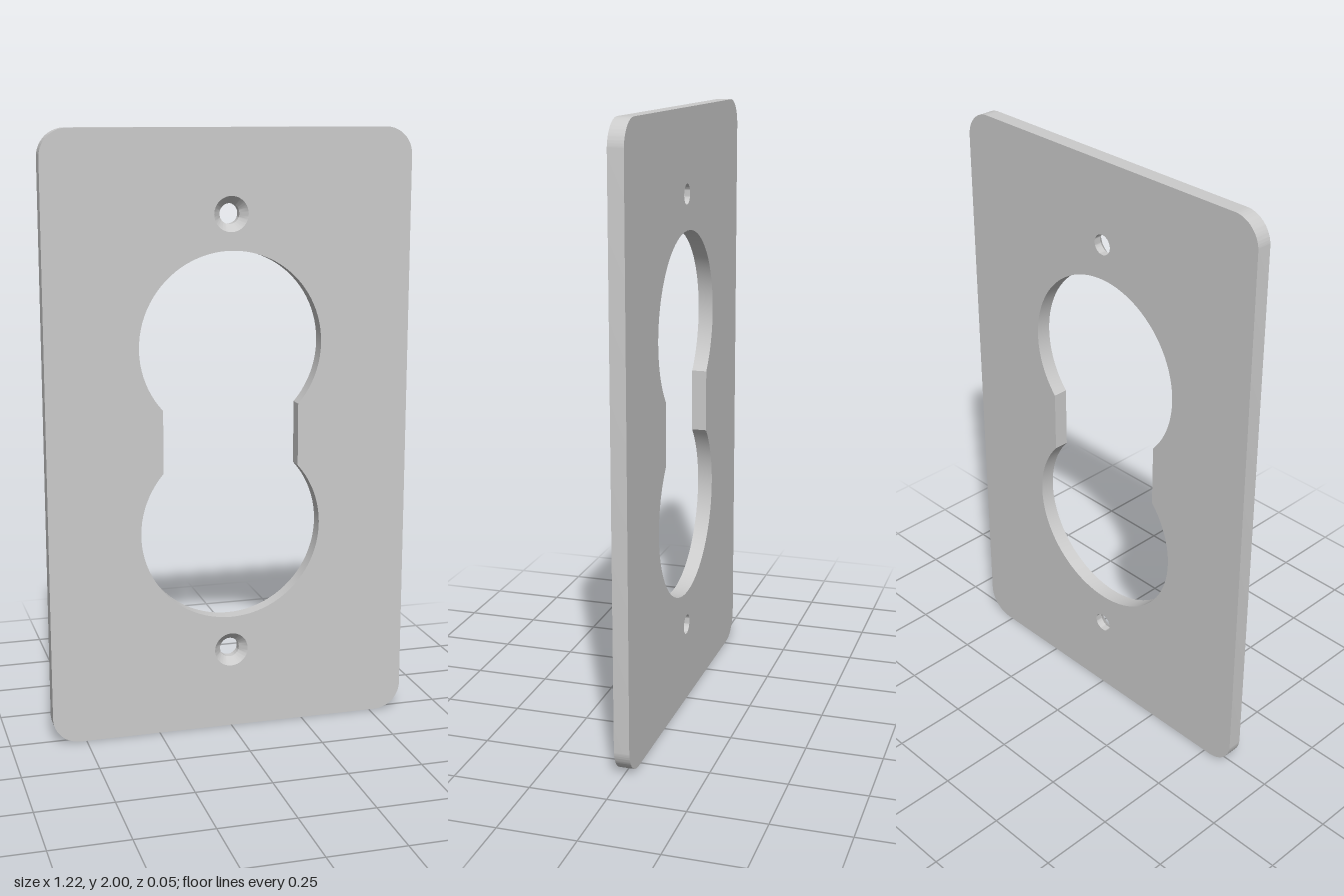
import * as THREE from 'three';
import { toCreasedNormals } from 'three/addons/utils/BufferGeometryUtils.js';

const W = 0.611, H = 1, T = 0.025;          // half width, half height, half thickness
const CORNER = 0.09;
const SCREW_Y = 0.729, SCREW_R = 0.033, SINK_R = 0.057;
const SEG = 32;

// Counter-clockwise rounded rectangle
function plateOutline() {
  const s = new THREE.Shape();
  const x = W - CORNER, y = H - CORNER, q = Math.PI / 2;
  [[x, y], [-x, y], [-x, -y], [x, -y]].forEach(([cx, cy], i) =>
    s.absarc(cx, cy, CORNER, i * q, (i + 1) * q, false));
  s.closePath();
  return s;
}

// Clockwise opening: two circles joined by a straight-sided neck
function openingOutline() {
  const r = 0.306, cy = 0.307, neck = 0.229;
  const a = Math.acos(neck / r);
  const p = new THREE.Path();
  p.absarc(0, -cy, r, a, Math.PI - a, true);
  p.absarc(0, cy, r, Math.PI + a, -a, true);
  p.closePath();
  return p;
}

// Flat face with the opening and two screw holes of the given radius
function faceGeometry(holeRadius) {
  const s = plateOutline();
  s.holes.push(openingOutline());
  for (const side of [1, -1]) {
    s.holes.push(new THREE.Path().absarc(0, side * SCREW_Y, holeRadius, 0, Math.PI * 2, true));
  }
  return new THREE.ShapeGeometry(s, SEG);
}

// Wall through the thickness along a closed outline
function wallGeometry(path) {
  const pts = path.getPoints(SEG), pos = [];
  pts.forEach((p, i) => {
    const q = pts[(i + 1) % pts.length];
    if (p.distanceTo(q) < 1e-6) return;
    pos.push(p.x, p.y, -T, q.x, q.y, -T, q.x, q.y, T);
    pos.push(p.x, p.y, -T, q.x, q.y, T, p.x, p.y, T);
  });
  const g = new THREE.BufferGeometry();
  g.setAttribute('position', new THREE.Float32BufferAttribute(pos, 3));
  return toCreasedNormals(g, Math.PI / 6);
}

export function createModel() {
  const group = new THREE.Group();
  group.name = 'wallPlate';
  const material = new THREE.MeshStandardMaterial({ color: 0xcccccc });
  const add = (name, geometry) => {
    const mesh = new THREE.Mesh(geometry, material);
    mesh.name = name;
    mesh.position.y = H;
    group.add(mesh);
    return mesh;
  };

  // Front and back faces
  add('frontFace', faceGeometry(SINK_R).translate(0, 0, T));
  add('backFace', faceGeometry(SCREW_R).rotateY(Math.PI).translate(0, 0, -T));

  // Outer rim and wall of the opening
  add('outerRim', wallGeometry(plateOutline()));
  add('openingWall', wallGeometry(openingOutline()));

  // Countersunk screw holes, wide at the front
  const profile = [[SINK_R, T], [SCREW_R, 0], [SCREW_R, -T]].map(p => new THREE.Vector2(...p));
  const sink = toCreasedNormals(
    new THREE.LatheGeometry(profile, SEG * 2).rotateX(Math.PI / 2), Math.PI / 6);
  add('upperScrewHole', sink).position.y += SCREW_Y;
  add('lowerScrewHole', sink).position.y -= SCREW_Y;

  return group;
}
